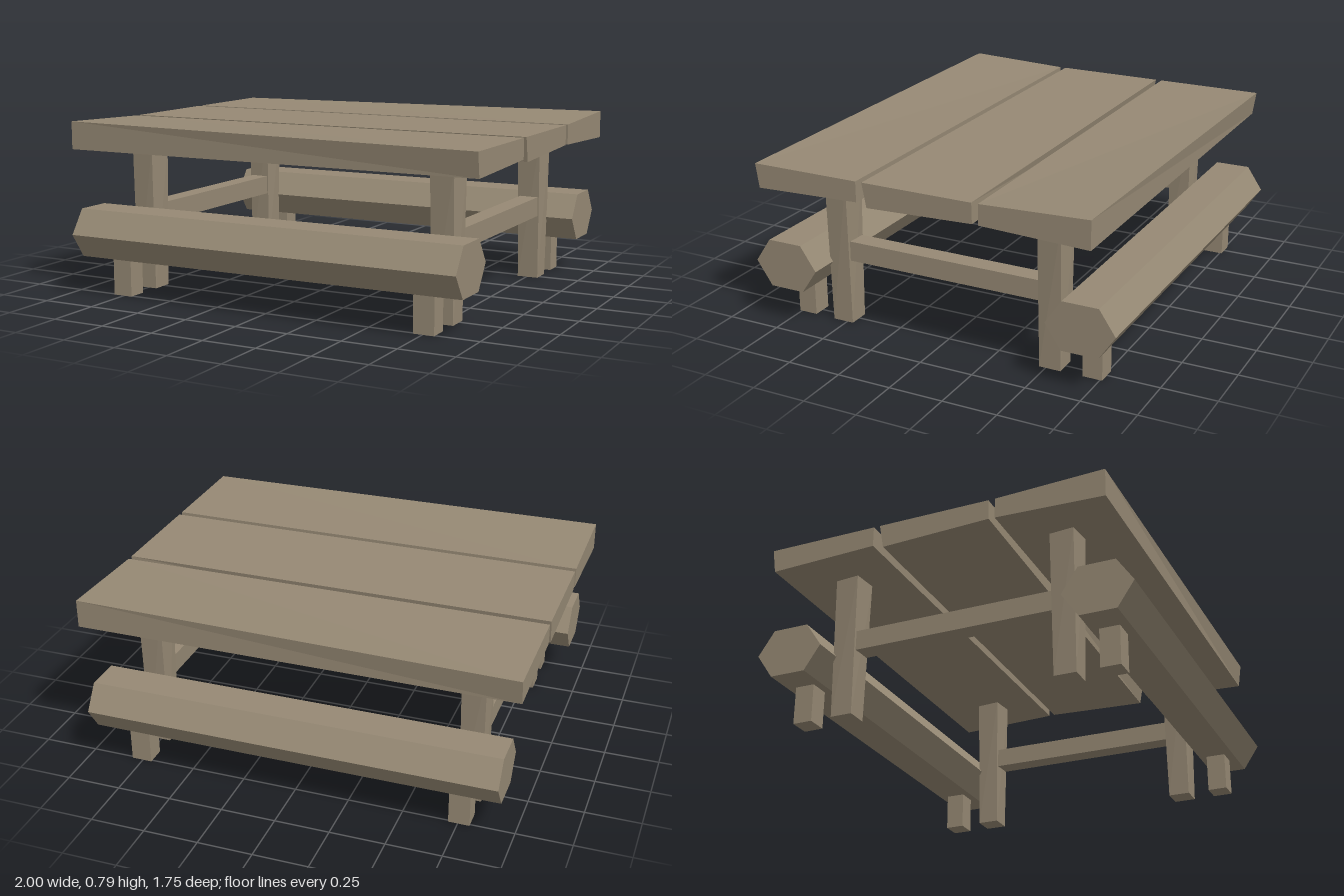
import * as THREE from 'three';

const wood = new THREE.MeshStandardMaterial({ color: 0x968974 });
wood.name = 'weathered wood';

// Solid between two matching rings of [x, y, z] corners, flat shaded.
// Rings run counter-clockwise seen from the end side.
function loft(name, start, end) {
  const n = start.length, pos = [];
  const tri = (a, b, c) => pos.push(...a, ...b, ...c);
  for (let i = 0; i < n; i++) {
    const j = (i + 1) % n;
    tri(start[i], start[j], end[j]);
    tri(start[i], end[j], end[i]);
    if (i > 0 && i < n - 1) {
      tri(end[0], end[i], end[i + 1]);
      tri(start[0], start[i + 1], start[i]);
    }
  }
  const g = new THREE.BufferGeometry();
  g.setAttribute('position', new THREE.Float32BufferAttribute(pos, 3));
  g.computeVertexNormals();
  const mesh = new THREE.Mesh(g, wood);
  mesh.name = name;
  return mesh;
}

// Beam along x from two [z, y] end profiles
function beam(name, half, left, right = left) {
  const ring = (profile, x) => profile.map(([z, y]) => [x, y, z]);
  return loft(name, ring(left, -half), ring(right, half));
}

// Square post at height y, turned slightly about its axis
function square(x, y, z, half, twist) {
  return [[1, 1], [1, -1], [-1, -1], [-1, 1]].map(([sx, sz]) => [
    x + half * (sx * Math.cos(twist) + sz * Math.sin(twist)), y,
    z + half * (sz * Math.cos(twist) - sx * Math.sin(twist))]);
}

function box(name, w, h, d, x, y, z) {
  const mesh = new THREE.Mesh(new THREE.BoxGeometry(w, h, d), wood);
  mesh.name = name;
  mesh.position.set(x, y, z);
  return mesh;
}

// One half of the table; the other half is the same turned by 180 degrees
function createSide(name) {
  const side = new THREE.Group();
  side.name = name;

  // Uneven outer plank
  side.add(beam('outerPlank', 1,
    [[0.785, 0.793], [0.785, 0.665], [0.29, 0.682], [0.29, 0.775]],
    [[0.803, 0.775], [0.787, 0.665], [0.29, 0.682], [0.29, 0.775]]));

  // Six-sided log bench
  side.add(beam('bench', 0.943, [
    [0.80, 0.397], [0.875, 0.286], [0.80, 0.175],
    [0.635, 0.175], [0.56, 0.286], [0.635, 0.397]]));

  for (const s of [-1, 1]) {
    const x = 0.755 * s;
    side.add(loft('tableLeg',
      square(x, 0, 0.52, 0.05, 0), square(x, 0.67, 0.52, 0.057, -0.09)));
    side.add(box('benchLeg', 0.095, 0.2, 0.09, x, 0.1, 0.715));
  }
  return side;
}

export function createModel() {
  const table = new THREE.Group();
  table.name = 'picnicTable';

  const front = createSide('frontSide');
  const back = createSide('backSide');
  back.rotation.y = Math.PI;
  table.add(front, back);

  // Middle plank with opposite lower corners cut in
  table.add(beam('middlePlank', 1,
    [[0.26, 0.775], [0.262, 0.683], [-0.24, 0.665], [-0.26, 0.775]],
    [[0.26, 0.775], [0.24, 0.665], [-0.262, 0.683], [-0.26, 0.775]]));

  // Cross rails joining the legs
  for (const s of [-1, 1]) table.add(box('crossRail', 0.09, 0.092, 1.0, 0.755 * s, 0.351, 0));
  return table;
}
